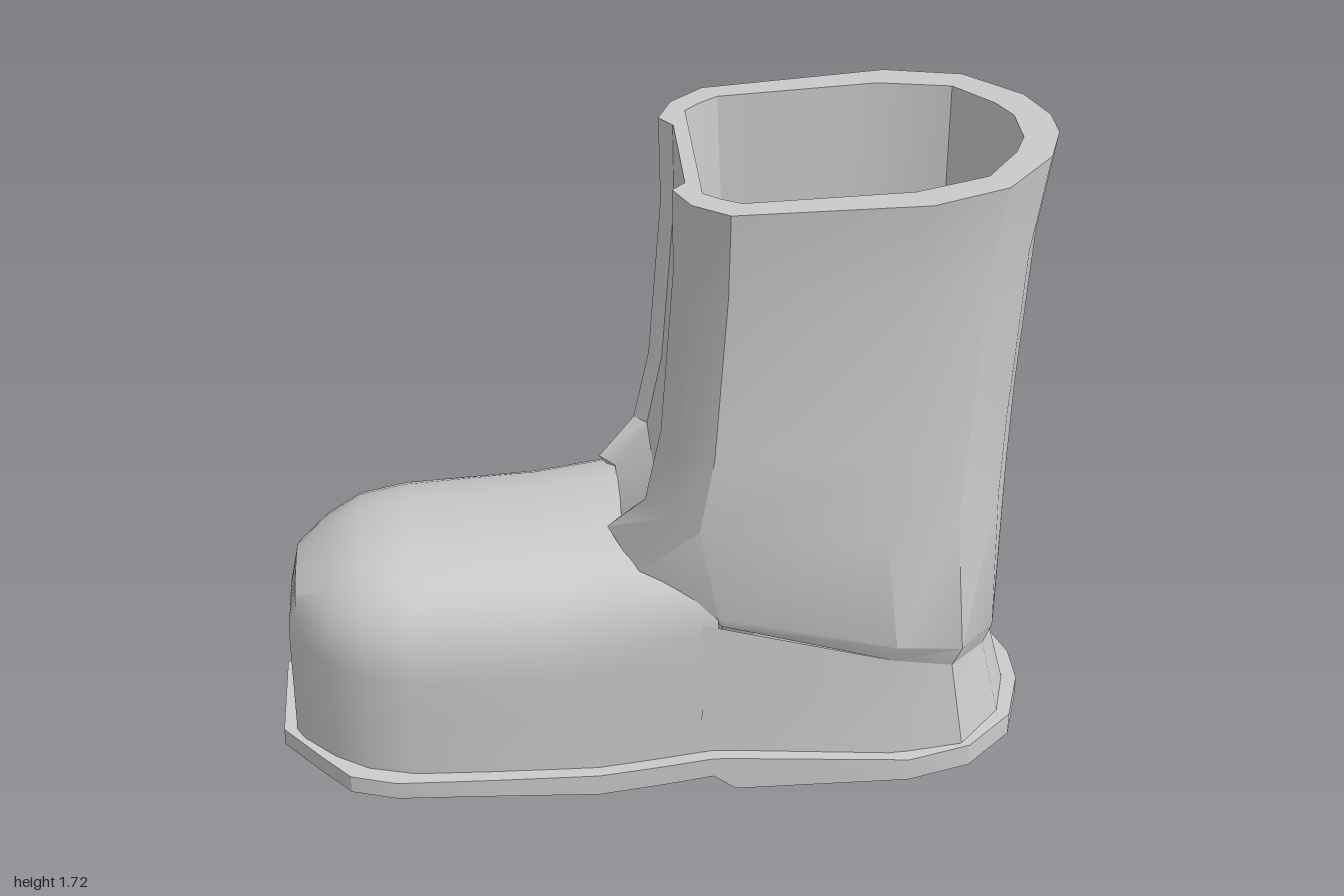
import * as THREE from 'three';
import { toCreasedNormals } from 'three/addons/utils/BufferGeometryUtils.js';

const material = new THREE.MeshStandardMaterial({ color: 0xcccccc, side: THREE.DoubleSide });

// Full ring from a half ring: side s first, then its mirror in reverse.
const mirror = (half, s) => [
  ...half.map(([x, y, z]) => [x, y, s * z]),
  ...half.slice().reverse().map(([x, y, z]) => [x, y, -s * z]),
];

// Skin a row of rings, with optional end caps.
function loft(name, rings, { closed = true, startCap = false, endCap = false, crease = 0.5 } = {}) {
  const pos = [];
  const tri = (a, b, c) => pos.push(...a, ...b, ...c);
  const n = rings[0].length;
  for (let j = 0; j < rings.length - 1; j++) {
    for (let i = 0; i < (closed ? n : n - 1); i++) {
      const k = (i + 1) % n;
      const a = rings[j][i], b = rings[j][k], c = rings[j + 1][k], d = rings[j + 1][i];
      tri(a, b, c);
      tri(a, c, d);
    }
  }
  const first = rings[0], last = rings[rings.length - 1];
  for (let i = 1; i < n - 1; i++) {
    if (startCap) tri(first[0], first[i + 1], first[i]);
    if (endCap) tri(last[0], last[i], last[i + 1]);
  }
  const geo = new THREE.BufferGeometry();
  geo.setAttribute('position', new THREE.Float32BufferAttribute(pos, 3));
  const mesh = new THREE.Mesh(toCreasedNormals(geo, crease), material);
  mesh.name = name;
  return mesh;
}

// Sole: stations of x, half width, bottom, top
function makeSole() {
  const stations = [
    [-1, 0.15, 0.03, 0.08], [-0.9, 0.27, 0.028, 0.078], [-0.82, 0.36, 0.026, 0.076],
    [-0.7, 0.395, 0.024, 0.074], [-0.45, 0.395, 0.015, 0.068], [-0.17, 0.395, 0.003, 0.065],
    [0, 0.395, 0.025, 0.085], [0.13, 0.395, 0.045, 0.103], [0.19, 0.395, 0, 0.1],
    [0.35, 0.395, 0, 0.088], [0.65, 0.395, 0, 0.066], [0.82, 0.345, 0, 0.065],
    [0.95, 0.22, 0, 0.065], [1, 0.06, 0, 0.065],
  ];
  const rings = stations.map(([x, w, lo, hi]) => mirror([[x, lo, w], [x, hi, w]], -1));
  return loft('sole', rings, { startCap: true, endCap: true, crease: 0.35 });
}

// Foot: arched sections along x, given by half width, shoulder height and top
function makeFoot() {
  const stations = [
    [-0.965, 0.15, 0.36, 0.41], [-0.943, 0.19, 0.38, 0.52], [-0.86, 0.272, 0.38, 0.587],
    [-0.77, 0.328, 0.37, 0.633], [-0.65, 0.357, 0.36, 0.652], [-0.3, 0.36, 0.36, 0.675],
    [-0.12, 0.36, 0.39, 0.703], [0.14, 0.36, 0.49, 0.71],
  ];
  const rings = stations.map(([x, w, side, top]) => {
    const half = [[x, 0.06, w], [x, 0.22, w * 0.99]];
    for (let i = 0; i <= 8; i++) {
      const a = (i / 8.6) * Math.PI / 2;
      half.push([x, side + (top - side) * Math.sin(a) ** 0.9, w * Math.cos(a) ** 0.8]);
    }
    return mirror(half, -1);
  });
  return loft('foot', rings, { startCap: true, crease: 0.6 });
}

// Lower edge of the shaft: tucked-in ring and the overhanging lip above it
const tuck = [
  [-0.06, 0.66, 0.1], [-0.09, 0.66, 0.15], [-0.03, 0.58, 0.25], [0.15, 0.5, 0.355],
  [0.6, 0.37, 0.362], [0.76, 0.32, 0.325], [0.87, 0.28, 0.18], [0.91, 0.26, 0.05],
];
const lip = [
  [-0.09, 0.7, 0.12], [-0.13, 0.7, 0.17], [-0.06, 0.62, 0.27], [0.14, 0.53, 0.362],
  [0.6, 0.43, 0.39], [0.78, 0.385, 0.345], [0.89, 0.345, 0.19], [0.925, 0.335, 0.05],
];

// Heel counter: wall from the sole up to the tucked edge, open to the foot
function makeHeel() {
  const base = [[0.1, 0.06, 0.36], [0.6, 0.06, 0.366], [0.8, 0.06, 0.335], [0.92, 0.06, 0.2], [0.962, 0.06, 0.05]];
  const top = [[0.1, 0.51, 0.36], ...tuck.slice(4)];
  return loft('heel', [mirror(base, 1), mirror(top, 1)], { closed: false });
}

// Shaft: plan outlines as [fraction front to back, fraction of half width]
function makeShaft() {
  const outer = [[0.035, 0.44], [0, 0.52], [0.04, 0.75], [0.13, 0.93], [0.62, 1], [0.82, 0.84], [0.955, 0.46], [1, 0.13]];
  const inner = [[0, 0.3], [0, 0.75], [0.05, 0.87], [0.11, 0.97], [0.62, 1], [0.85, 0.83], [0.96, 0.45], [1, 0.2]];
  const ring = (plan, front, back, w, yF, yB) =>
    mirror(plan.map(([u, v]) => [front + (back - front) * u, yF + (yB - yF) * u, w * v]), 1);
  return loft('shaft', [
    mirror(tuck, 1),
    mirror(lip, 1),
    ring(outer, -0.035, 0.925, 0.386, 0.8, 0.75),
    ring(outer, 0.005, 0.93, 0.378, 1.0, 1.0),
    ring(outer, 0.035, 0.953, 0.362, 1.45, 1.45),
    ring(outer, 0.03, 0.99, 0.385, 1.672, 1.715),
    // rim and inner wall down to the insole
    ring(inner, 0.1, 0.9, 0.308, 1.675, 1.711),
    ring(inner, 0.18, 0.88, 0.27, 0.12, 0.12),
  ], { endCap: true });
}

export function createModel() {
  const boot = new THREE.Group();
  boot.name = 'boot';
  boot.add(makeSole(), makeFoot(), makeHeel(), makeShaft());
  return boot;
}
